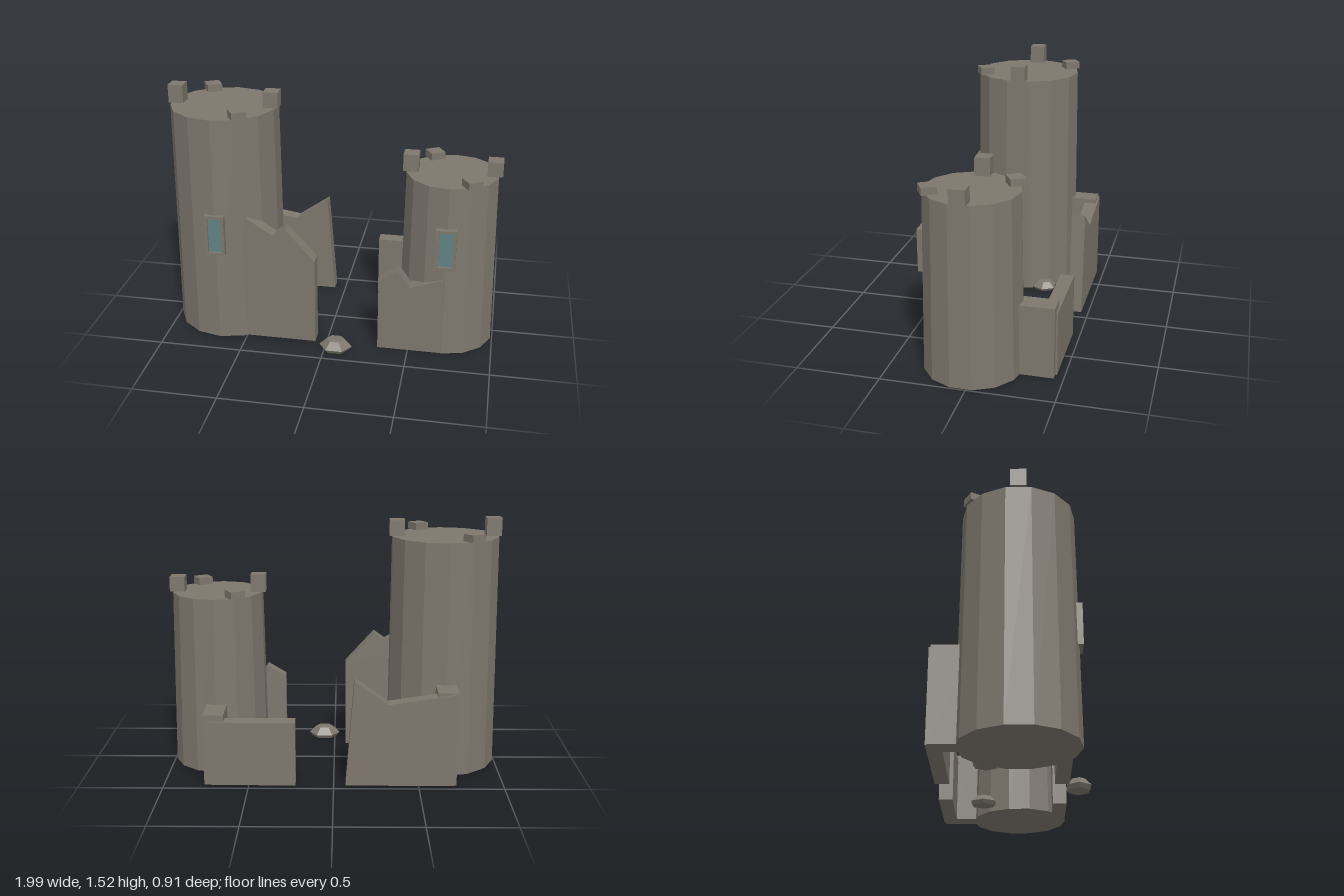
import * as THREE from 'three';

export function createModel() {
  const model = new THREE.Group();
  model.name = 'ruinedTowers';

  const stone = new THREE.MeshStandardMaterial({ color: 0x7d776d });
  stone.name = 'stone';
  stone.flatShading = true;
  const glass = new THREE.MeshStandardMaterial({ color: 0x628285 });
  glass.name = 'windowGlass';

  const add = (parent, name, geometry, material = stone, x = 0, y = 0, z = 0) => {
    const mesh = new THREE.Mesh(geometry, material);
    mesh.name = name;
    mesh.position.set(x, y, z);
    parent.add(mesh);
    return mesh;
  };

  const outline = (points) => new THREE.Shape(points.map(([x, y]) => new THREE.Vector2(x, y)));
  const extrude = (shape, depth) => new THREE.ExtrudeGeometry(shape, { depth, bevelEnabled: false });

  // Framed window with a recessed pane, back face at z = 0
  function createWindow(name, x, y, z) {
    const group = new THREE.Group();
    group.name = name;
    group.position.set(x, y, z);
    const frame = outline([[-0.06, -0.127], [0.06, -0.127], [0.06, 0.127], [-0.06, 0.127]]);
    frame.holes.push(outline([[-0.04, -0.109], [-0.04, 0.109], [0.04, 0.109], [0.04, -0.109]]));
    add(group, 'windowFrame', extrude(frame, 0.035));
    add(group, 'windowPane', new THREE.BoxGeometry(0.08, 0.218, 0.008), glass, 0, 0, 0.016);
    return group;
  }

  // Tapered tower with the four surviving battlements
  function createTower(name, x, bottom, top, height, ring, leftHeight, rightHeight) {
    const group = new THREE.Group();
    group.name = name;
    group.position.set(x, 0, 0.03);
    add(group, 'towerBody', new THREE.CylinderGeometry(top, bottom, height, 14), stone, 0, height / 2, 0);
    const merlons = [[0, rightHeight], [60, 0.044], [180, leftHeight], [240, 0.044]];
    for (const [degrees, h] of merlons) {
      const a = THREE.MathUtils.degToRad(degrees);
      const merlon = add(group, 'battlement', new THREE.BoxGeometry(0.09, h, 0.09), stone,
        Math.cos(a) * ring, height + h / 2, Math.sin(a) * ring);
      merlon.rotation.y = -a;
    }
    return group;
  }

  model.add(
    createTower('tallTower', -0.663, 0.337, 0.322, 1.41, 0.288, 0.108, 0.094),
    createTower('shortTower', 0.705, 0.292, 0.274, 1.07, 0.245, 0.105, 0.09),
    createWindow('tallTowerWindow', -0.663, 0.697, 0.345),
    createWindow('shortTowerWindow', 0.7, 0.697, 0.3)
  );

  // Broken walls with jagged tops
  const walls = [
    ['frontRightWall', 0.235, [[-0.6, 0], [-0.07, 0], [-0.07, 0.55], [-0.25, 0.75], [-0.32, 0.7],
      [-0.48, 0.8], [-0.53, 0.64], [-0.6, 0.5]]],
    ['frontLeftWall', 0.235, [[0.315, 0], [0.7, 0], [0.7, 0.5], [0.5, 0.43], [0.43, 0.53], [0.315, 0.46]]],
    ['backRightWall', -0.455, [[-0.71, 0], [-0.07, 0], [-0.12, 0.64], [-0.32, 0.5], [-0.71, 0.56]]],
    ['backLeftWall', -0.455, [[0.225, 0], [0.72, 0], [0.72, 0.39], [0.225, 0.39]]]
  ];
  for (const [name, z, points] of walls) {
    add(model, name, extrude(outline(points), 0.084), stone, 0, 0, z);
  }

  // Short walls joining each tower to its back wall
  for (const [x, height] of [[-0.663, 0.57], [0.702, 0.43]]) {
    add(model, 'sideWall', new THREE.BoxGeometry(0.122, height, 0.245), stone, x, height / 2, -0.3225);
  }

  // Fallen six-sided rocks
  const profile = [[0, 0], [0.8, 0], [1, 0.35], [0.55, 0.95], [0, 1]].map(([r, y]) => new THREE.Vector2(r, y));
  const rocks = [[0.068, 0.38, 0.1, 0.072, 0.082], [0.355, -0.19, 0.08, 0.06, 0.085], [-0.367, -0.152, 0.075, 0.058, 0.082]];
  for (const [x, z, sx, sy, sz] of rocks) {
    const rock = add(model, 'rock', new THREE.LatheGeometry(profile, 6, Math.PI / 2), stone, x, 0, z);
    rock.scale.set(sx, sy, sz);
  }

  return model;
}
